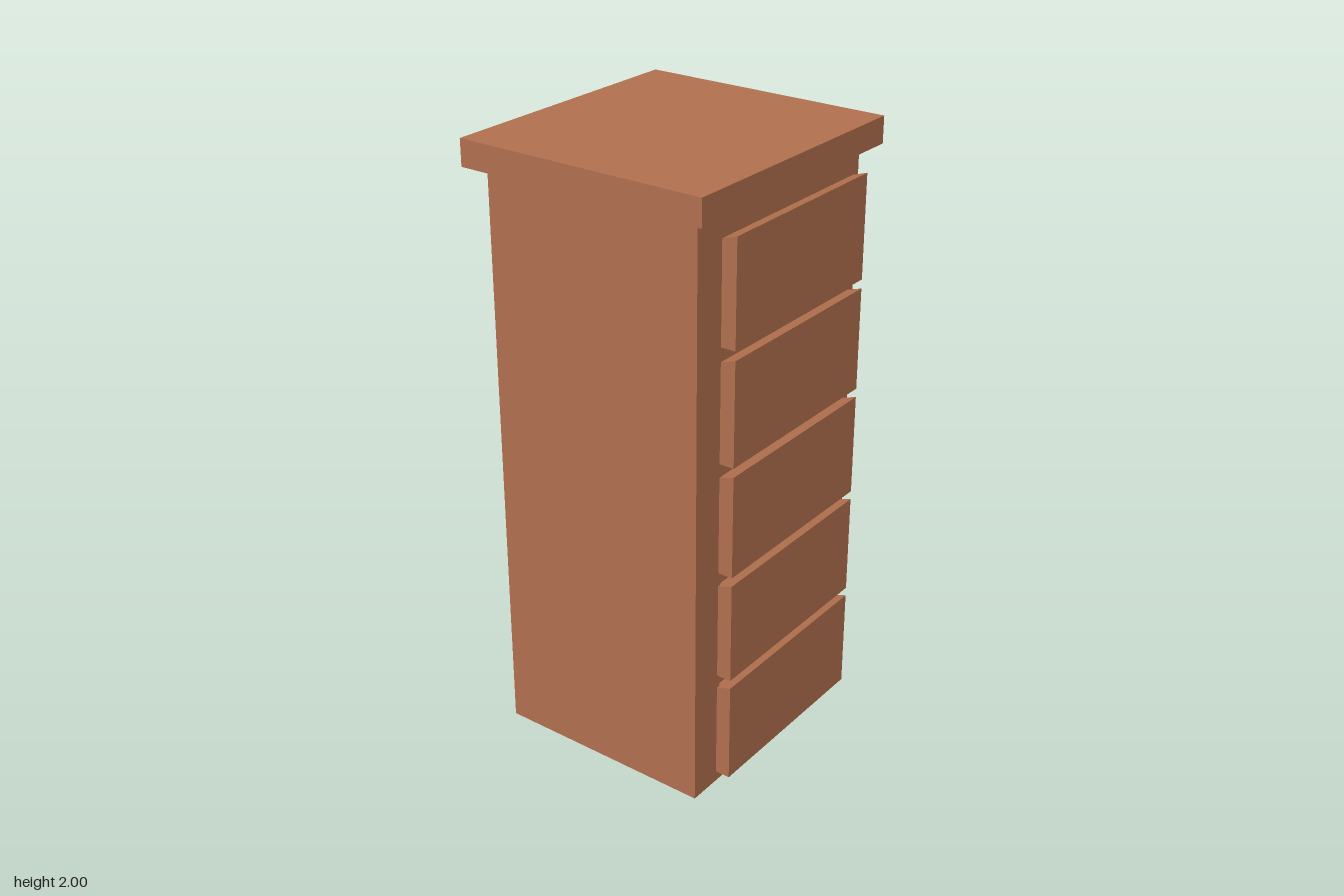
import * as THREE from 'three';

export function createModel() {
  const group = new THREE.Group();
  group.name = 'drawerCabinet';
  const wood = new THREE.MeshStandardMaterial({ color: 0xb06f4e });
  wood.name = 'warm brown wood';

  function add(name, geometry) {
    const mesh = new THREE.Mesh(geometry, wood);
    mesh.name = name;
    group.add(mesh);
  }

  // Box given by its x and y limits and its depth, centred on z = 0
  function box(name, x0, x1, y0, y1, depth) {
    const geometry = new THREE.BoxGeometry(x1 - x0, y1 - y0, depth);
    geometry.translate((x0 + x1) / 2, (y0 + y1) / 2, 0);
    add(name, geometry);
  }

  // Carcass and overhanging top
  box('cabinetBody', -0.387, 0.36, 0, 1.915, 0.81);
  box('cabinetTop', -0.44, 0.41, 1.915, 2, 0.91);

  // Drawer front section, with a top edge that rises outward
  const profile = new THREE.Shape([
    new THREE.Vector2(0.387, 0),
    new THREE.Vector2(0.436, 0),
    new THREE.Vector2(0.436, 0.335),
    new THREE.Vector2(0.387, 0.319),
  ]);

  // Five drawers, each on a smaller block that holds it off the carcass
  for (let i = 0; i < 5; i++) {
    const y = 0.072 + i * 0.364;
    box(`drawerMount${i + 1}`, 0.36, 0.387, y + 0.055, y + 0.295, 0.56);
    const front = new THREE.ExtrudeGeometry(profile, { depth: 0.66, bevelEnabled: false });
    front.translate(0, y, -0.33);
    add(`drawerFront${i + 1}`, front);
  }

  return group;
}
